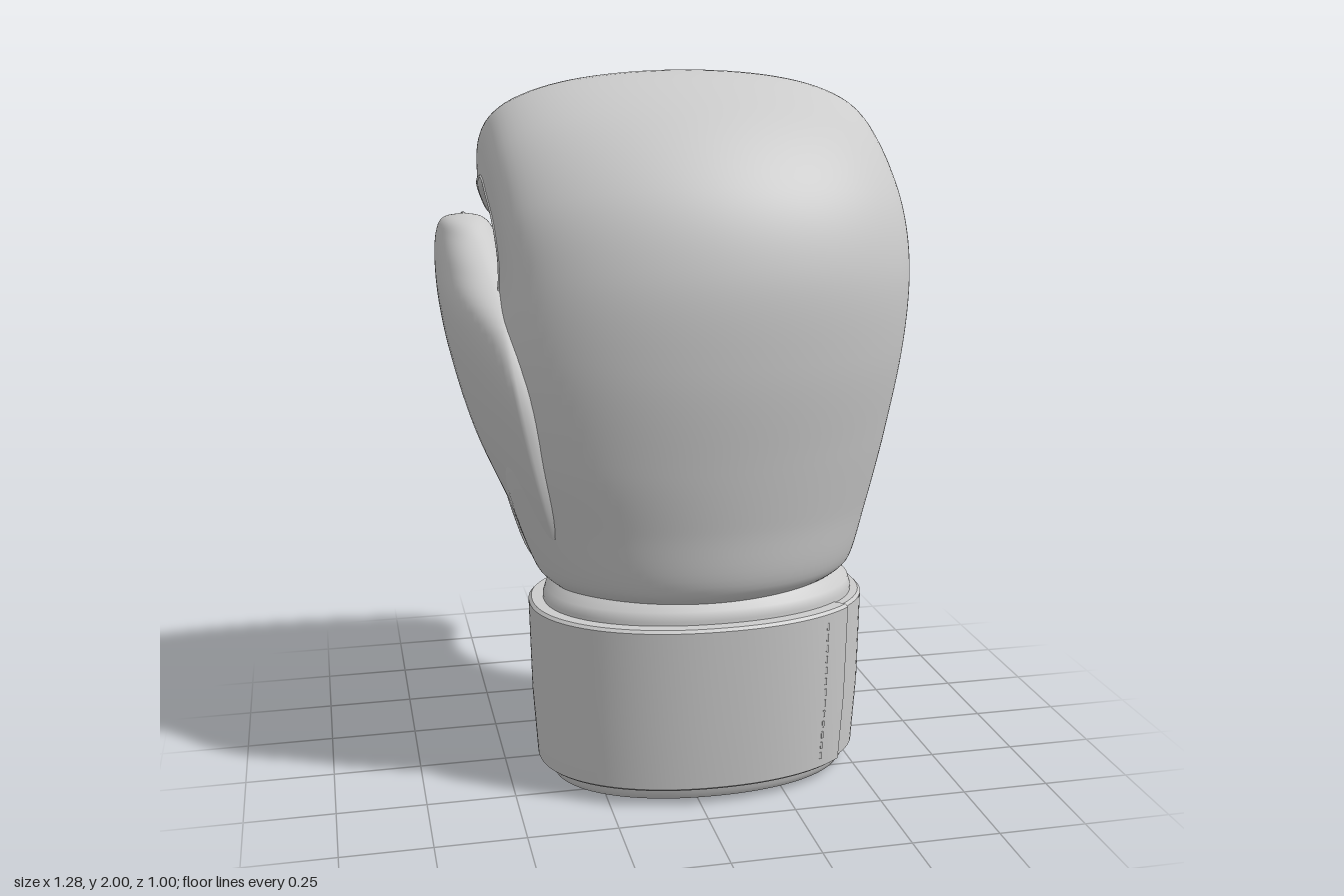
import * as THREE from 'three';
import { toCreasedNormals } from 'three/addons/utils/BufferGeometryUtils.js';

const material = new THREE.MeshStandardMaterial({ color: 0xcccccc, roughness: 0.6, side: THREE.DoubleSide });
const V = (x, y, z) => new THREE.Vector3(x, y, z);

function addMesh(group, name, geometry) {
  const mesh = new THREE.Mesh(geometry, material);
  mesh.name = name;
  group.add(mesh);
  return mesh;
}

// Skin a list of rings (equal-length arrays of points).
function loft(rings, closed = true, crease = 0) {
  const n = rings[0].length, index = [];
  for (let j = 0; j < rings.length - 1; j++) {
    for (let i = 0; i < (closed ? n : n - 1); i++) {
      const k = (i + 1) % n;
      const a = j * n + i, b = a + n, c = j * n + k, d = c + n;
      index.push(a, b, c, b, d, c);
    }
  }
  const geometry = new THREE.BufferGeometry().setFromPoints(rings.flat());
  geometry.setIndex(index);
  if (crease) return toCreasedNormals(geometry, crease);
  geometry.computeVertexNormals();
  return geometry;
}

// Point of a unit superellipse, with its own exponent for front and back.
function superPoint(angle, nFront, nBack) {
  const c = Math.cos(angle), s = Math.sin(angle), n = s > 0 ? nFront : nBack;
  const r = Math.pow(Math.abs(c) ** n + Math.abs(s) ** n, -1 / n);
  return [c * r, s * r];
}

const tube = (points, radius, segments = 100) =>
  new THREE.TubeGeometry(new THREE.CatmullRomCurve3(points), segments, radius, 8);

// Palm depth and lacing slot
const palmZ = (y) => y < 0.63 ? -0.185 - (y - 0.58) * 0.25 : y < 0.78 ? -0.2 + (y - 0.63) * 0.13 : -0.18 + (y - 0.78) * 0.227;
function slotDepth(x, y) {
  if (y < 0.56 || y > 0.94) return 0;
  const half = y < 0.85 ? 0.02 + 0.05 * (y - 0.56) / 0.29 : 0.07 * Math.sqrt(1 - ((y - 0.85) / 0.09) ** 2);
  const d = Math.abs(x - 0.17) / Math.max(half, 0.001);
  return d < 1 ? 0.06 * (1 - d ** 4) : 0;
}

// Curled mitt: outer z, y, inner z, y, right and left limits in x
const MITT = [
  [0.37, 0.575, -0.14, 0.575, -0.35, 0.45],
  [0.42, 0.62, -0.2, 0.63, -0.405, 0.51],
  [0.45, 0.8, -0.18, 0.78, -0.465, 0.55],
  [0.475, 0.98, -0.13, 1.0, -0.51, 0.585],
  [0.5, 1.25, -0.075, 1.25, -0.515, 0.62],
  [0.485, 1.5, -0.05, 1.42, -0.495, 0.633],
  [0.4, 1.71, -0.065, 1.53, -0.5, 0.628],
  [0.2, 1.91, -0.1, 1.59, -0.51, 0.612],
  [-0.06, 2.0, -0.17, 1.62, -0.51, 0.605],
  [-0.3, 1.93, -0.24, 1.605, -0.51, 0.592],
  [-0.44, 1.81, -0.3, 1.575, -0.49, 0.575],
  [-0.495, 1.68, -0.36, 1.555, -0.465, 0.54],
  [-0.475, 1.59, -0.405, 1.55, -0.43, 0.49],
  [-0.435, 1.555, -0.435, 1.555, -0.37, 0.42],
];

function mittRings(count, around) {
  const outer = new THREE.CatmullRomCurve3(MITT.map((m) => V(0, m[1], m[0])));
  const inner = new THREE.CatmullRomCurve3(MITT.map((m) => V(0, m[3], m[2])));
  const limits = new THREE.CatmullRomCurve3(MITT.map((m) => V(m[4], m[5], 0)), false, 'catmullrom');
  const rings = [];
  for (let j = 0; j <= count; j++) {
    const t = j / count;
    const o = outer.getPoint(t), p = inner.getPoint(t), l = limits.getPoint(t);
    const dome = 0.4 - 0.21 * THREE.MathUtils.smoothstep(t, 0.4, 0.75);
    const seam = 0.31 - 0.08 * THREE.MathUtils.smoothstep(t, 0.4, 0.6);
    const ring = [];
    for (let i = 0; i < around; i++) {
      let [u, v] = superPoint(2 * Math.PI * i / around, 5, 3);
      if (v > 0) v *= 1 - dome * u * u;
      const point = p.clone().lerp(o, seam + v * (v > 0 ? 1 - seam : seam));
      point.x = (l.x + l.y) / 2 + u * (l.y - l.x) / 2;
      if (v < -0.5 && t < 0.4) point.z += slotDepth(point.x, point.y);
      ring.push(point);
    }
    rings.push(ring);
  }
  return rings;
}

// Thumb: y, back z, front z, outer x, ridge x, inner x
const THUMB = [
  [0.6, -0.11, 0.2, -0.385, -0.33, -0.1],
  [0.8, -0.19, 0.3, -0.47, -0.39, -0.12],
  [1.0, -0.262, 0.34, -0.556, -0.44, -0.17],
  [1.2, -0.345, 0.34, -0.612, -0.48, -0.28],
  [1.35, -0.405, 0.26, -0.637, -0.5, -0.385],
  [1.46, -0.437, 0.04, -0.638, -0.52, -0.43],
  [1.53, -0.425, -0.11, -0.629, -0.535, -0.455],
  [1.57, -0.395, -0.19, -0.61, -0.545, -0.485],
  [1.588, -0.31, -0.29, -0.56, -0.548, -0.54],
];

function thumbRings(count, around) {
  const zs = new THREE.CatmullRomCurve3(THUMB.map((m) => V(m[1], m[0], m[2])));
  const xs = new THREE.CatmullRomCurve3(THUMB.map((m) => V(m[3], m[5], m[4])), false, 'catmullrom');
  const rings = [];
  for (let j = 0; j <= count; j++) {
    const t = j / count, z = zs.getPoint(t), x = xs.getPoint(t);
    const middle = z.x + 0.37 * (z.z - z.x);
    // Low down both sides slope straight into the mitt; the tip is rounder
    const blend = THREE.MathUtils.smoothstep(t, 0.25, 0.65);
    rings.push(Array.from({ length: around }, (_, i) => {
      const angle = 2 * Math.PI * i / around;
      const [u, v] = superPoint(angle, 1.5 + 0.5 * blend, Math.cos(angle) > 0 ? 1.2 + 1.2 * blend : 2.4);
      return V(x.z + u * (u > 0 ? x.y - x.z : x.z - x.x), z.y, middle + v * (v > 0 ? z.z - middle : middle - z.x));
    }));
  }
  const top = V(-0.548, 1.589, -0.3);
  rings.push(rings[0].map(() => top.clone()));
  return rings;
}

// Wrist outline at a height, grown outwards by an offset; rounder below the thumb
function cuffPoint(angle, y, offset) {
  const [u, v] = superPoint(angle, 2.15, Math.cos(angle) < 0 ? 2.25 : 2.7);
  return V(0.06 + u * (0.45 + offset), y, 0.11 + v * (0.295 + offset));
}
const cuffRing = (y, offset, count = 96) =>
  Array.from({ length: count }, (_, i) => cuffPoint(2 * Math.PI * i / count, y, offset));

export function createModel() {
  const glove = new THREE.Group();
  glove.name = 'boxingGlove';

  // Padded mitt and its side seams
  const around = 160;
  const mitt = mittRings(110, around);
  addMesh(glove, 'mitt', loft(mitt));
  for (const [name, i] of [['leftSeam', 0], ['rightSeam', around / 2]]) {
    addMesh(glove, name, tube(mitt.filter((_, j) => j % 5 === 0).map((r) => r[i]), 0.004));
  }

  // Thumb with a seam along its back edge
  const thumb = thumbRings(48, 64);
  addMesh(glove, 'thumb', loft(thumb));
  addMesh(glove, 'thumbSeam', tube(thumb.filter((_, j) => j % 4 === 0).map((r) => r[48]), 0.004));

  // Piping round the palm slot
  const loop = [[0.158, 0.58], [0.14, 0.68], [0.105, 0.82], [0.12, 0.905], [0.17, 0.935],
    [0.22, 0.905], [0.235, 0.82], [0.2, 0.68], [0.182, 0.58]];
  addMesh(glove, 'slotPiping', tube(loop.map(([x, y]) => V(x, y, palmZ(y) + 0.01)), 0.014, 60));

  // Hollow cuff: inside, rolled bottom rim, outside, pinched neck
  const liner = [[0.54, -0.29], [0.54, -0.1], [0.3, -0.085], [0.08, -0.08], [0.03, -0.07], [0.006, -0.052],
    [0, -0.038], [0.006, -0.022], [0.025, -0.01], [0.06, -0.004], [0.5, 0], [0.54, 0], [0.565, -0.008], [0.58, -0.03], [0.62, -0.06]];
  const linerRings = liner.map(([y, off]) => cuffRing(y, off));
  linerRings.unshift(cuffRing(0.54, 0).map(() => V(0.06, 0.54, 0.11)));
  addMesh(glove, 'cuff', loft(linerRings));

  // Wrist strap, narrower at the bottom
  const strap = [[0.05, -0.02], [0.05, 0.006], [0.058, 0.014], [0.25, 0.026], [0.518, 0.03], [0.526, 0.022], [0.526, -0.02]];
  addMesh(glove, 'wristStrap', loft(strap.map(([y, off]) => cuffRing(y, off)), true, 0.7));

  // Overlapping strap layer, its two ends turned in
  const start = THREE.MathUtils.degToRad(40), end = THREE.MathUtils.degToRad(295), steps = 80;
  const flap = [[0.046, -0.01], [0.046, 0.012], [0.054, 0.022], [0.25, 0.035], [0.522, 0.041], [0.53, 0.033], [0.53, -0.01]];
  const flapRings = flap.map(([y, off]) => Array.from({ length: steps + 1 }, (_, i) => {
    const k = THREE.MathUtils.clamp((i - 1) / (steps - 2), 0, 1);
    const edge = i === 0 || i === steps;
    return cuffPoint(start + (end - start) * k, y, edge ? -0.01 : off);
  }));
  addMesh(glove, 'strapFlap', loft(flapRings, false, 0.7));

  // Stitches near the flap end
  const stitches = new THREE.Group();
  stitches.name = 'strapStitches';
  const stitch = new THREE.BoxGeometry(0.006, 0.02, 0.006);
  for (let i = 0; i < 13; i++) {
    const y = 0.09 + i * 0.033;
    const off = y < 0.25 ? 0.022 + (y - 0.054) * 0.066 : 0.035 + (y - 0.25) * 0.022;
    addMesh(stitches, 'stitch', stitch).position.copy(cuffPoint(0.9, y, off));
  }
  glove.add(stitches);

  return glove;
}
